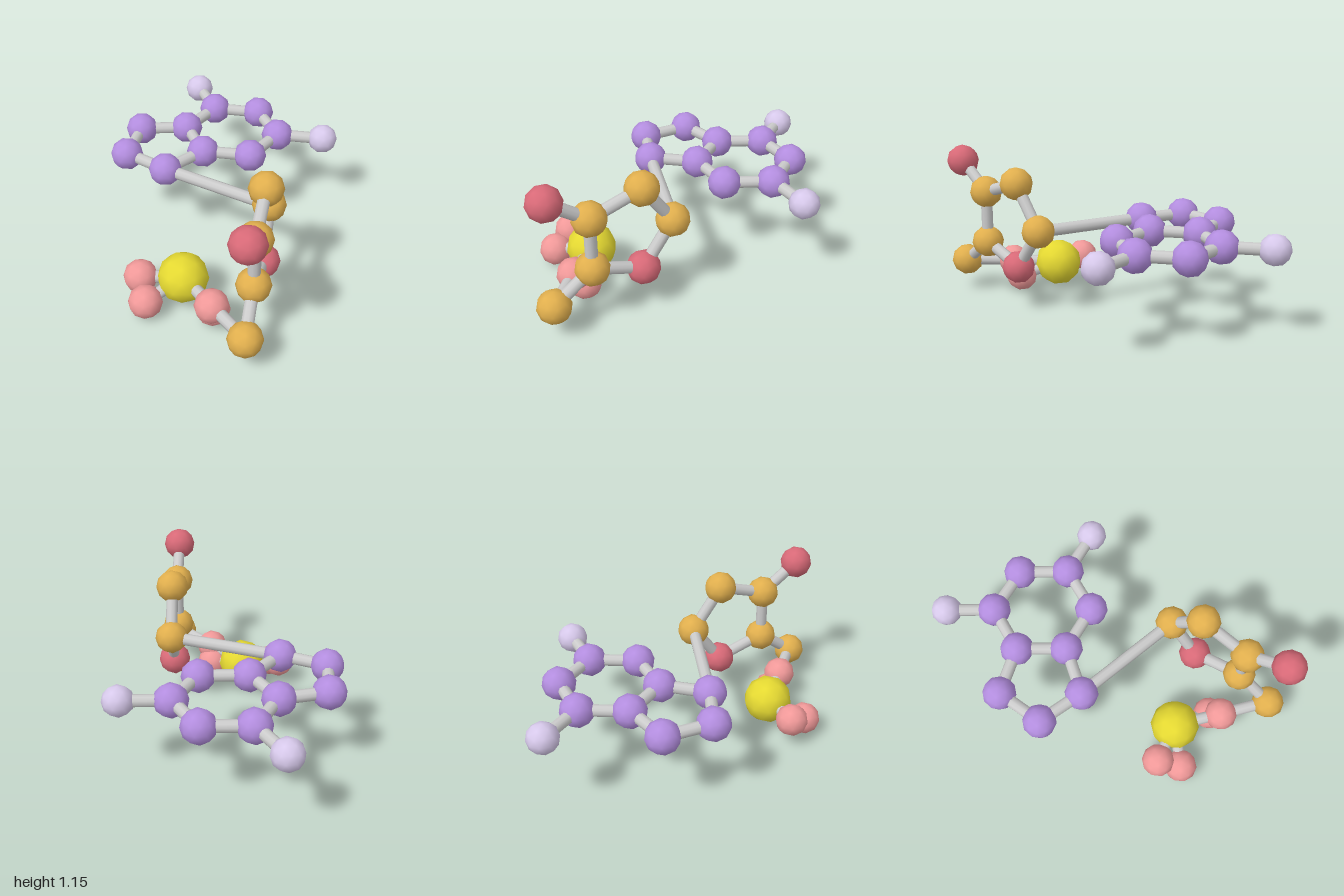
import * as THREE from 'three';

const mat = (color) => new THREE.MeshStandardMaterial({ color });

// Low-poly ball with a vertex at each pole, smooth normals
function ballGeometry(radius) {
  return new THREE.IcosahedronGeometry(radius, 1)
    .rotateX(-Math.atan((1 + Math.sqrt(5)) / 2))
    .rotateY(Math.PI / 2);
}

// Kinds of ball: colour and radius
const KINDS = {
  ringBall: [0xb48ee0, 0.12],
  tipBall: [0xd8caec, 0.11],
  goldBall: [0xe2b04e, 0.12],
  redBall: [0xd96a78, 0.12],
  pinkBall: [0xf29a9a, 0.12],
  yellowBall: [0xe6da32, 0.18],
};

// Every ball: kind, x, y, z
const BALLS = {
  // flat double ring
  a: ['ringBall', -0.2, 0.64, -0.7],
  b: ['ringBall', 0.12, 0.64, -0.845],
  c: ['ringBall', 0.35, 0.64, -0.585],
  d: ['ringBall', 0.175, 0.64, -0.28],
  e: ['ringBall', -0.17, 0.64, -0.35],
  f: ['ringBall', 0.35, 0.64, 0.025],
  g: ['ringBall', 0.7, 0.64, 0.025],
  h: ['ringBall', 0.87, 0.64, -0.28],
  i: ['ringBall', 0.7, 0.64, -0.585],
  tip1: ['tipBall', 0.87, 0.64, -0.885],
  tip2: ['tipBall', 0.87, 0.64, 0.325],
  // upright five-sided ring
  s1: ['goldBall', -0.035, 0.64, 0.475],
  s2: ['goldBall', -0.235, 0.95, 0.58],
  s3: ['goldBall', -0.565, 0.835, 0.74],
  s4: ['goldBall', -0.565, 0.45, 0.74],
  s5: ['goldBall', -0.815, 0.245, 0.865],
  r1: ['redBall', -0.235, 0.33, 0.58],
  r2: ['redBall', -0.815, 1.035, 0.865],
  // yellow cluster
  y: ['yellowBall', -0.61, 0.215, 0.18],
  p1: ['pinkBall', -0.715, 0.235, 0.515],
  p2: ['pinkBall', -0.645, 0.125, 0.47],
  p3: ['pinkBall', -0.775, 0.205, -0.065],
  p4: ['pinkBall', -0.88, 0.125, 0.07],
};

// Rods, as pairs of balls
const RODS = [
  'a b', 'b c', 'c d', 'd e', 'e a', 'd f', 'f g', 'g h', 'h i', 'i c',
  'i tip1', 'g tip2', 'e s1',
  's1 s2', 's2 s3', 's3 s4', 's4 r1', 'r1 s1', 's3 r2', 's4 s5',
  's5 p1', 'p1 y', 'y p2', 'y p3', 'y p4',
];

export function createModel() {
  const model = new THREE.Group();
  model.name = 'ballAndStickModel';

  // Balls share one geometry and material per kind
  const kinds = {};
  for (const [name, [color, radius]] of Object.entries(KINDS)) {
    kinds[name] = [ballGeometry(radius), mat(color)];
  }
  const at = {};
  for (const [key, [kind, x, y, z]] of Object.entries(BALLS)) {
    const ball = new THREE.Mesh(...kinds[kind]);
    ball.name = kind;
    ball.position.set(x, y, z);
    at[key] = ball.position;
    model.add(ball);
  }

  // Rods run from centre to centre
  const rodMaterial = mat(0xcccccc);
  const rodGeometry = new THREE.CylinderGeometry(0.043, 0.043, 1, 10, 1, true);
  const up = new THREE.Vector3(0, 1, 0);
  for (const pair of RODS) {
    const [from, to] = pair.split(' ').map((key) => at[key]);
    const along = to.clone().sub(from);
    const rod = new THREE.Mesh(rodGeometry, rodMaterial);
    rod.name = 'rod';
    rod.position.copy(from).addScaledVector(along, 0.5);
    rod.scale.y = along.length();
    rod.quaternion.setFromUnitVectors(up, along.normalize());
    model.add(rod);
  }
  return model;
}
